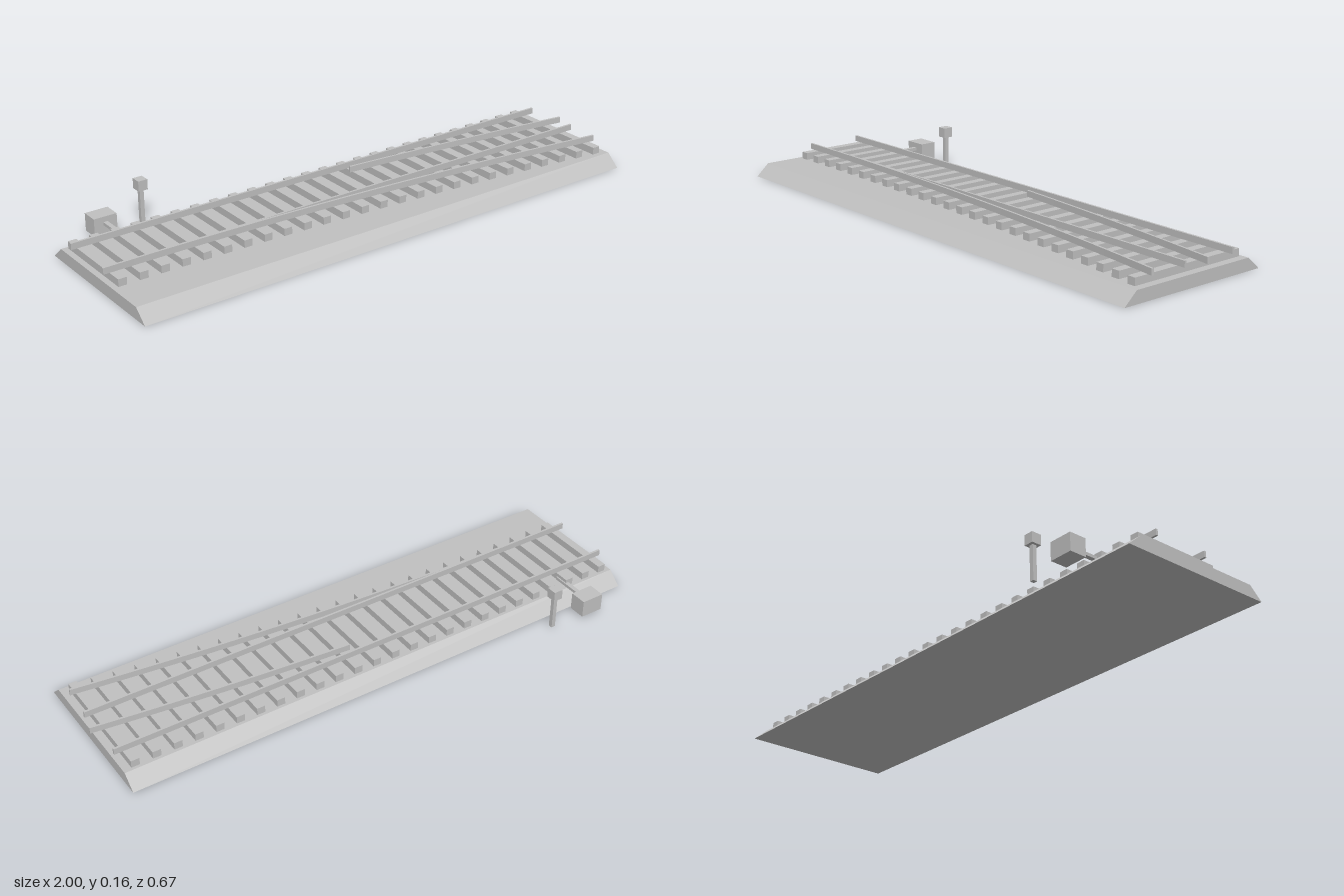
import * as THREE from 'three';

const grey = new THREE.MeshStandardMaterial({ color: 0xc0c0c0 });
grey.name = 'plain grey';

const RAIL_Y0 = 0.07, RAIL_Y1 = 0.092, RAIL_W = 0.008, GAUGE = 0.209;

// Centre line of the diverging route's outer rail
const START = -0.9, BEND = 0.0367, BASE = 0.082;
const curveZ = (x) => BASE + BEND * Math.max(0, x - START) ** 2;
const curveSlope = (x) => 2 * BEND * Math.max(0, x - START);

function add(parent, name, geometry) {
  const mesh = new THREE.Mesh(geometry, grey);
  mesh.name = name;
  parent.add(mesh);
  return mesh;
}

// Box given by its minimum and maximum on each axis
function box(parent, name, x0, x1, y0, y1, z0, z1) {
  const mesh = add(parent, name, new THREE.BoxGeometry(x1 - x0, y1 - y0, z1 - z0));
  mesh.position.set((x0 + x1) / 2, (y0 + y1) / 2, (z0 + z1) / 2);
  return mesh;
}

// Rail swept along the diverging route, shifted sideways by offset
function curvedRail(parent, name, xStart, xEnd, offset) {
  const steps = 24;
  const edge = (side) => Array.from({ length: steps + 1 }, (_, i) => {
    const x = xStart + (xEnd - xStart) * i / steps;
    const s = curveSlope(x), n = Math.hypot(1, s), d = offset + side * RAIL_W / 2;
    return new THREE.Vector2(x - d * s / n, -(curveZ(x) + d / n));
  });
  const shape = new THREE.Shape([...edge(1), ...edge(-1).reverse()]);
  const geometry = new THREE.ExtrudeGeometry(shape, { depth: RAIL_Y1 - RAIL_Y0, bevelEnabled: false });
  geometry.rotateX(-Math.PI / 2);
  add(parent, name, geometry).position.y = RAIL_Y0;
}

export function createModel() {
  const model = new THREE.Group();
  model.name = 'railwaySwitch';

  // Ballast bed with sloping shoulders
  const profile = new THREE.Shape([
    new THREE.Vector2(-0.333, 0), new THREE.Vector2(0.25, 0),
    new THREE.Vector2(0.2, 0.044), new THREE.Vector2(-0.284, 0.044),
  ]);
  const bed = new THREE.ExtrudeGeometry(profile, { depth: 1.98, bevelEnabled: false });
  bed.rotateY(Math.PI / 2);
  add(model, 'ballast', bed).position.x = -1;

  // Sleepers lengthen to follow the diverging rail
  const sleepers = new THREE.Group();
  sleepers.name = 'sleepers';
  model.add(sleepers);
  for (let i = 0; i < 26; i++) {
    const x = -0.964 + i * 0.076;
    box(sleepers, 'sleeper', x - 0.015, x + 0.015, 0.044, RAIL_Y0, -0.189, curveZ(x) + 0.058);
  }

  // Straight and diverging rails
  const rails = new THREE.Group();
  rails.name = 'rails';
  model.add(rails);
  for (const z of [-0.129, 0.082]) {
    box(rails, 'straightRail', -1, 0.98, RAIL_Y0, RAIL_Y1, z - RAIL_W / 2, z + RAIL_W / 2);
  }
  curvedRail(rails, 'outerCurvedRail', -0.89, 0.97, 0);
  curvedRail(rails, 'innerCurvedRail', 0.06, 0.97, -GAUGE);

  // Point motor and its throw rod
  const motor = new THREE.Group();
  motor.name = 'pointMotor';
  model.add(motor);
  box(motor, 'motorBox', -0.842, -0.757, 0.013, 0.077, -0.333, -0.27);
  box(motor, 'throwRod', -0.808, -0.792, 0.047, 0.058, -0.27, -0.14);

  // Signal post with a square head
  const signal = new THREE.Group();
  signal.name = 'signal';
  model.add(signal);
  box(signal, 'signalPost', -0.653, -0.638, 0, 0.124, -0.309, -0.294);
  box(signal, 'signalHead', -0.663, -0.628, 0.124, 0.161, -0.32, -0.283);

  return model;
}
